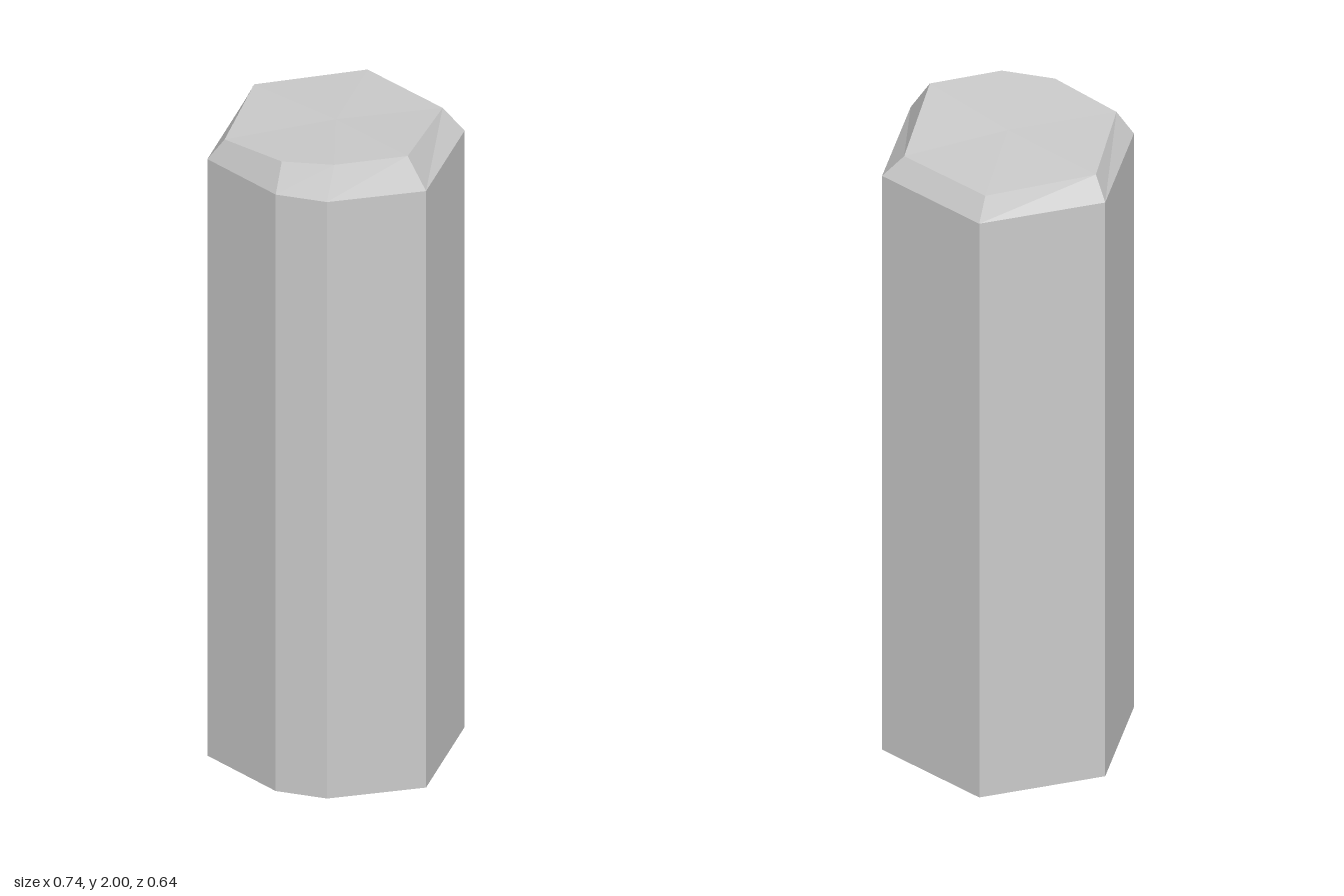
import * as THREE from 'three';

// Corner plan [x, z], counter-clockwise seen from above; one hexagon corner is cut off
const OUTLINE = [[0.37, 0], [0.185, -0.32], [-0.185, -0.32], [-0.37, 0], [-0.23, 0.245], [-0.1, 0.32], [0.185, 0.32]];
// Uneven rim of the crown [x, y, z], matching the outline corner by corner
const CROWN = [
  [0.312, 1.973, -0.022], [0.157, 1.973, -0.288], [-0.172, 1.973, -0.275], [-0.325, 1.973, 0.02],
  [-0.205, 1.99, 0.212], [-0.07, 2, 0.282], [0.142, 2, 0.278],
];
const SHOULDER = 1.905;

const material = new THREE.MeshStandardMaterial({ color: 0xcccccc, flatShading: true, side: THREE.DoubleSide });

function facetMesh(name, positions) {
  const geometry = new THREE.BufferGeometry();
  geometry.setAttribute('position', new THREE.Float32BufferAttribute(positions, 3));
  geometry.computeVertexNormals();
  const mesh = new THREE.Mesh(geometry, material);
  mesh.name = name;
  return mesh;
}

// Band of separate flat facets between two closed rings
function band(name, lower, upper) {
  const positions = [];
  lower.forEach((a, i) => {
    const j = (i + 1) % lower.length;
    const b = lower[j], c = upper[j], d = upper[i];
    positions.push(...a, ...b, ...c, ...a, ...c, ...d);
  });
  return facetMesh(name, positions);
}

// Fan of triangles from a centre point to a ring
function fan(name, ring, centre) {
  const positions = [];
  ring.forEach((a, i) => positions.push(...centre, ...a, ...ring[(i + 1) % ring.length]));
  return facetMesh(name, positions);
}

export function createModel() {
  const group = new THREE.Group();
  group.name = 'stoneColumn';
  const ringAt = (y) => OUTLINE.map(([x, z]) => [x, y, z]);

  // Upright walls, open underneath
  group.add(band('columnWalls', ringAt(0), ringAt(SHOULDER)));
  // Chipped bevel around the top
  group.add(band('topBevel', ringAt(SHOULDER), CROWN));
  // Gently tilted top
  group.add(fan('topFace', CROWN, [0, 1.987, 0]));
  return group;
}
